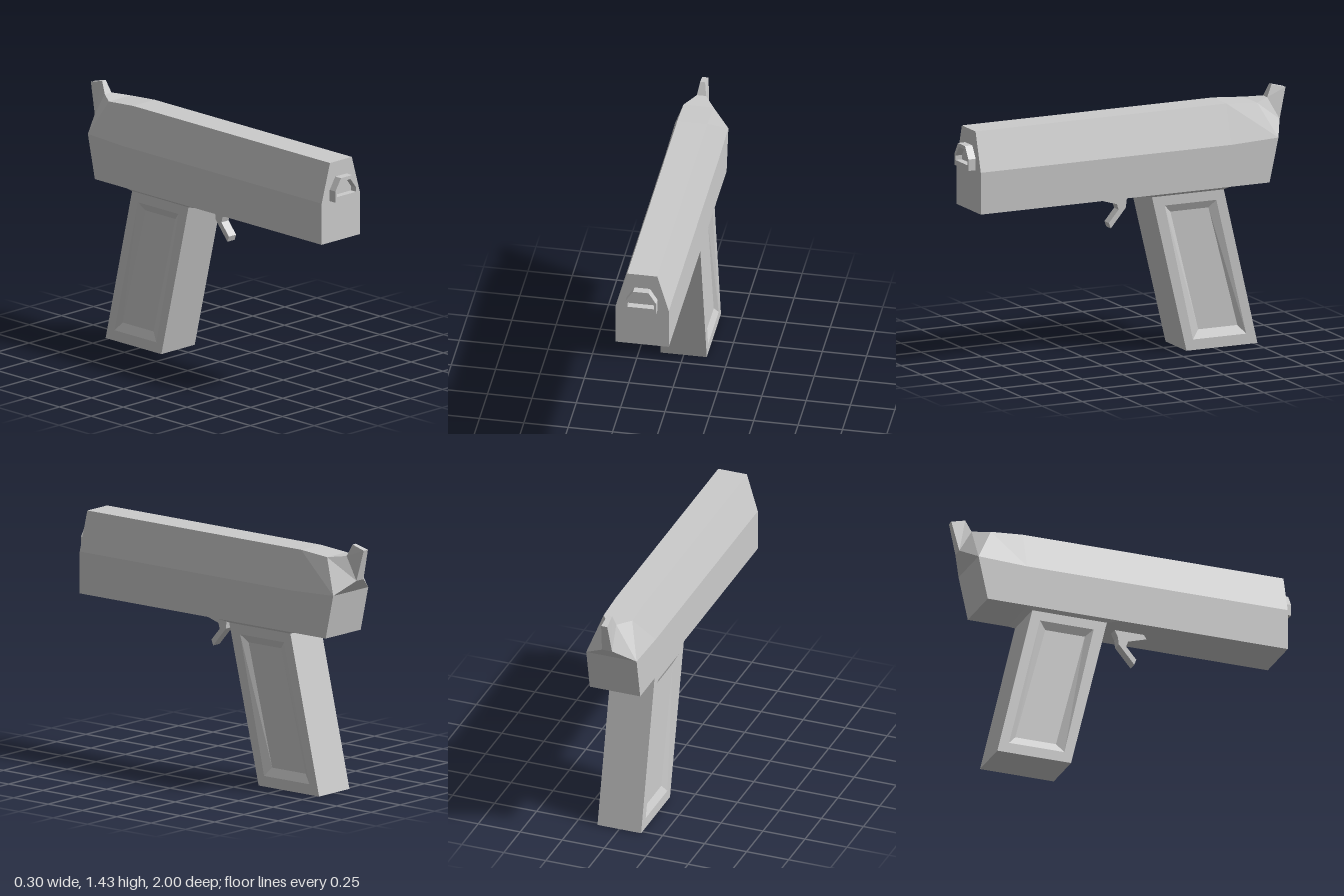
import * as THREE from 'three';

const material = new THREE.MeshStandardMaterial({ color: 0xcccccc, flatShading: true });

function addMesh(group, name, geometry) {
  const mesh = new THREE.Mesh(geometry, material);
  mesh.name = name;
  group.add(mesh);
}

// Skin a list of rings (counter-clockwise seen from the last ring's side) and cap both ends.
function loft(rings) {
  const n = rings[0].length;
  const index = [];
  for (let r = 0; r < rings.length - 1; r++) {
    for (let i = 0; i < n; i++) {
      const j = (i + 1) % n;
      const a = r * n + i, b = r * n + j;
      index.push(a, b, b + n, a, b + n, a + n);
    }
  }
  const last = (rings.length - 1) * n;
  for (let i = 1; i < n - 1; i++) {
    index.push(0, i + 1, i, last, last + i, last + i + 1);
  }
  const geometry = new THREE.BufferGeometry();
  geometry.setAttribute('position', new THREE.Float32BufferAttribute(rings.flat(2), 3));
  geometry.setIndex(index);
  const flat = geometry.toNonIndexed();
  flat.computeVertexNormals();
  return flat;
}

const mirror = ([x, y, z]) => [-x, y, z];
// Six-sided and four-sided sections, symmetric in x, from their +x corners
const hexRing = (shoulder, bottom, top) =>
  [mirror(shoulder), mirror(bottom), bottom, shoulder, top, mirror(top)];
const quadRing = (low, high) => [mirror(low), low, high, mirror(high)];

export function createModel() {
  const group = new THREE.Group();

  // Slide: long six-sided body with a slanted rear
  const rearShoulder = [0.15, 1.16, -0.89];
  const rearTop = [0.085, 1.355, -0.79];
  const slideRing = (z) => hexRing([0.15, 1.148, z], [0.15, 0.91, z], [0.085, 1.37, z]);
  addMesh(group, 'slide', loft([
    hexRing(rearShoulder, [0.15, 0.91, -0.835], rearTop),
    slideRing(-0.6),
    slideRing(0.955),
  ]));

  // Tapered tail rising into the hammer
  addMesh(group, 'hammer', loft([
    quadRing([0.018, 1.41, -1.0], [0.014, 1.433, -0.915]),
    quadRing([0.03, 1.235, -0.957], [0.026, 1.365, -0.882]),
    quadRing(rearShoulder, rearTop),
  ]));

  // Muzzle block with a recessed bore
  const outer = (z) => hexRing([0.087, 1.215, z], [0.087, 1.15, z], [0.044, 1.283, z]);
  const inner = (z) => hexRing([0.074, 1.205, z], [0.074, 1.18, z], [0.03, 1.263, z]);
  addMesh(group, 'muzzle', loft([outer(0.95), outer(1.0), inner(1.0), inner(0.96)]));

  // Collar between slide and grip
  const collarRing = (x, y, front, back) =>
    [[-x, y, front], [x, y, front], [x, y, back], [-x, y, back]];
  addMesh(group, 'gripCollar', loft([
    collarRing(0.13, 0.895, -0.115, -0.56),
    collarRing(0.15, 0.912, -0.03, -0.6),
  ]));

  // Raked grip with a bevelled recess on each side: corners as [z, y]
  const outline = [[-0.33, 0], [-0.77, 0], [-0.56, 0.9], [-0.115, 0.9]];
  const recessRim = [[-0.37, 0.06], [-0.7, 0.06], [-0.515, 0.84], [-0.195, 0.84]];
  const recessFloor = [[-0.412, 0.11], [-0.655, 0.11], [-0.476, 0.797], [-0.24, 0.797]];
  const sideRing = (corners, x) => corners.map(([z, y]) => [x, y, z]);
  addMesh(group, 'grip', loft([
    sideRing(recessFloor, -0.11),
    sideRing(recessRim, -0.13),
    sideRing(outline, -0.13),
    sideRing(outline, 0.13),
    sideRing(recessRim, 0.13),
    sideRing(recessFloor, 0.11),
  ]));

  // Trigger: flat hooked plate
  const profile = [
    [0.16, 0.885], [0.05, 0.852], [0.04, 0.82], [0.1, 0.75], [0.088, 0.718],
    [-0.005, 0.827], [-0.01, 0.87], [-0.03, 0.912], [0.145, 0.912],
  ].map(([z, y]) => new THREE.Vector2(z, y));
  const trigger = new THREE.ExtrudeGeometry(new THREE.Shape(profile), { depth: 0.056, bevelEnabled: false });
  trigger.rotateY(-Math.PI / 2).translate(0.028, 0, 0);
  addMesh(group, 'trigger', trigger);

  return group;
}
